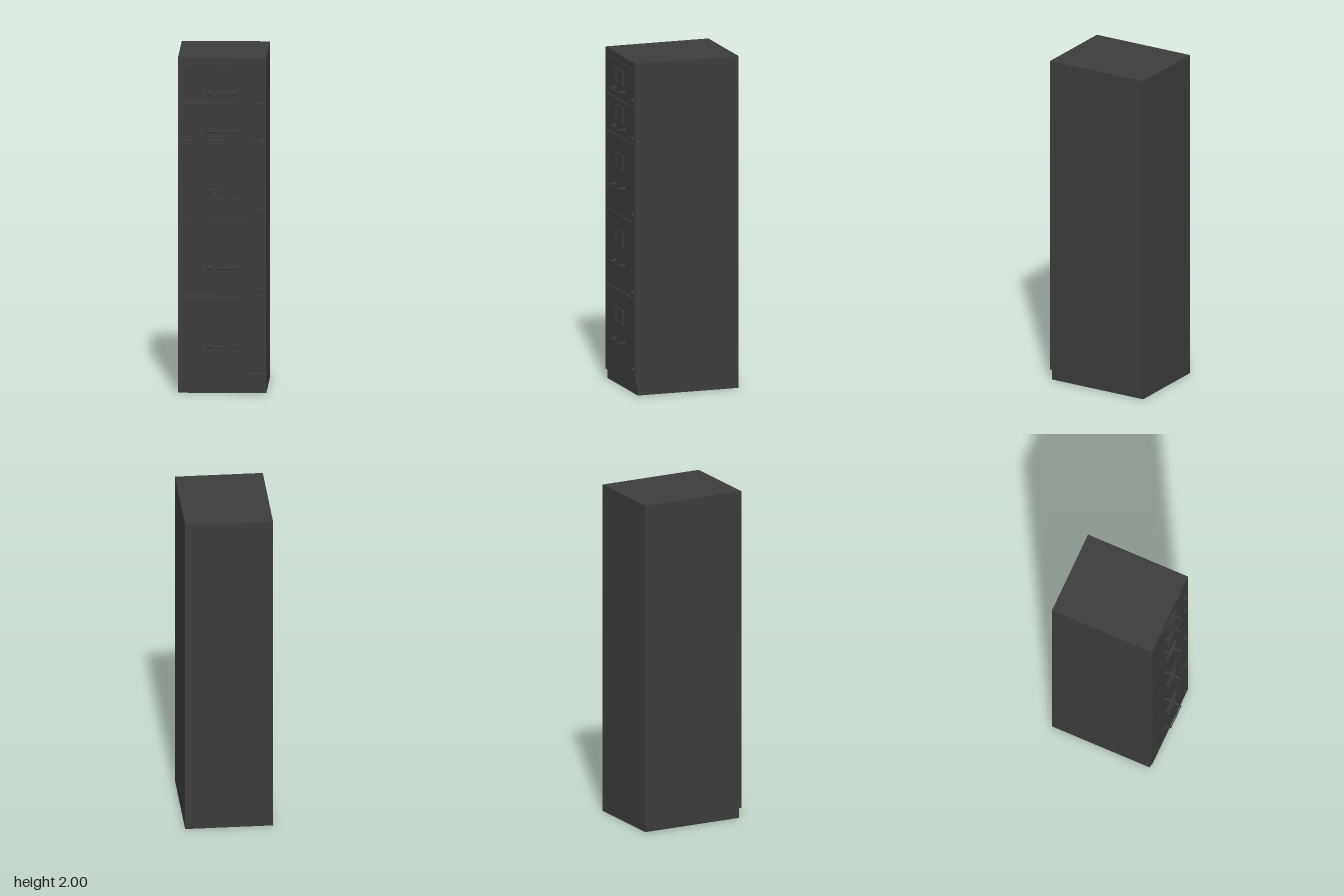
import * as THREE from 'three';

const FRONT = 0.3, BACK = -0.345, HALF = 0.26;

export function createModel() {
  const cabinet = new THREE.Group();
  cabinet.name = 'filingCabinet';
  const paint = new THREE.MeshStandardMaterial({ color: 0x3c3c3c });

  const add = (parent, name, geometry, x = 0, y = 0, z = 0) => {
    const mesh = new THREE.Mesh(geometry, paint);
    mesh.name = name;
    mesh.position.set(x, y, z);
    parent.add(mesh);
    return mesh;
  };
  const rectangle = (Type, x0, y0, x1, y1) => new Type([
    new THREE.Vector2(x0, y0), new THREE.Vector2(x1, y0),
    new THREE.Vector2(x1, y1), new THREE.Vector2(x0, y1),
  ]);
  const extrude = (shape, depth) =>
    new THREE.ExtrudeGeometry(shape, { depth, bevelEnabled: false });

  // Drawers from bottom to top: edges, label, handle and lock heights
  const drawers = [
    { bottom: 0.12, top: 0.577, label: 0.43, handle: 0.28, lock: 0.148 },
    { bottom: 0.585, top: 1.03, label: 0.895, handle: 0.747, lock: 0.613 },
    { bottom: 1.043, top: 1.505, label: 1.36, handle: 1.21, lock: 1.08 },
    { bottom: 1.515, top: 1.727, label: 1.648, handle: 1.563, lock: 1.538 },
    { bottom: 1.735, top: 1.955, label: 1.873, handle: 1.79, lock: 1.765 },
  ];

  // Carcass with a set-back plinth at the front
  const inner = FRONT - 0.014;
  const profile = new THREE.Shape([
    new THREE.Vector2(-BACK, 0), new THREE.Vector2(-BACK, 2),
    new THREE.Vector2(-inner, 2), new THREE.Vector2(-inner, 0),
  ].reverse());
  const carcass = extrude(profile, 2 * HALF).rotateY(Math.PI / 2);
  add(cabinet, 'carcass', carcass, -HALF);

  // Face frame with an opening for each drawer
  const face = rectangle(THREE.Shape, -HALF, 0.06, HALF, 2);
  for (const d of drawers) {
    face.holes.push(rectangle(THREE.Path, -0.246, d.bottom - 0.003, 0.246, d.top + 0.003));
  }
  add(cabinet, 'faceFrame', extrude(face, FRONT - inner), 0, 0, inner);

  // Label holder: raised border around a card
  const border = rectangle(THREE.Shape, -0.066, -0.045, 0.066, 0.045);
  border.holes.push(rectangle(THREE.Path, -0.056, -0.036, 0.056, 0.036));
  const borderGeometry = extrude(border, 0.01);
  const cardGeometry = new THREE.BoxGeometry(0.114, 0.074, 0.003);

  // Handle: flared foot, splayed arm and a grip that swells in the middle
  const footGeometry = new THREE.SphereGeometry(0.015, 16, 10).scale(0.7, 1, 0.7);
  const armGeometry = new THREE.CylinderGeometry(0.0045, 0.008, 0.037, 12).rotateX(Math.PI / 2);
  const gripGeometry = new THREE.LatheGeometry([
    [0, -0.077], [0.005, -0.077], [0.009, -0.07], [0.005, -0.062], [0.005, -0.035],
    [0.008, 0], [0.005, 0.035], [0.005, 0.062], [0.009, 0.07], [0.005, 0.077], [0, 0.077],
  ].map(([r, y]) => new THREE.Vector2(r, y)), 16).rotateZ(Math.PI / 2).scale(1, 1, 0.5);

  // Push lock with a rounded rim
  const lockGeometry = new THREE.LatheGeometry([
    [0.016, 0], [0.016, 0.008], [0.013, 0.012], [0.009, 0.012], [0.008, 0.01], [0, 0.01],
  ].map(([r, y]) => new THREE.Vector2(r, y)), 20).rotateX(Math.PI / 2);

  drawers.forEach((d, i) => {
    const drawer = new THREE.Group();
    drawer.name = 'drawer' + (i + 1);
    cabinet.add(drawer);

    const height = d.top - d.bottom;
    add(drawer, 'drawerFront', new THREE.BoxGeometry(0.484, height, 0.016),
      0, d.bottom + height / 2, FRONT - 0.006);

    add(drawer, 'labelFrame', borderGeometry, 0, d.label, FRONT + 0.001);
    add(drawer, 'labelCard', cardGeometry, 0, d.label, FRONT + 0.003);

    const handle = new THREE.Group();
    handle.name = 'handle';
    handle.position.set(0, d.handle, FRONT);
    drawer.add(handle);
    for (const side of [-1, 1]) {
      add(handle, 'handleFoot', footGeometry, side * 0.076, 0, 0.004);
      add(handle, 'handleArm', armGeometry, side * 0.076, 0, 0.02).rotation.y = -side * 0.15;
    }
    add(handle, 'handleGrip', gripGeometry, 0, 0, 0.038);

    add(drawer, 'lock', lockGeometry, 0.213, d.lock, FRONT);
  });

  return cabinet;
}
